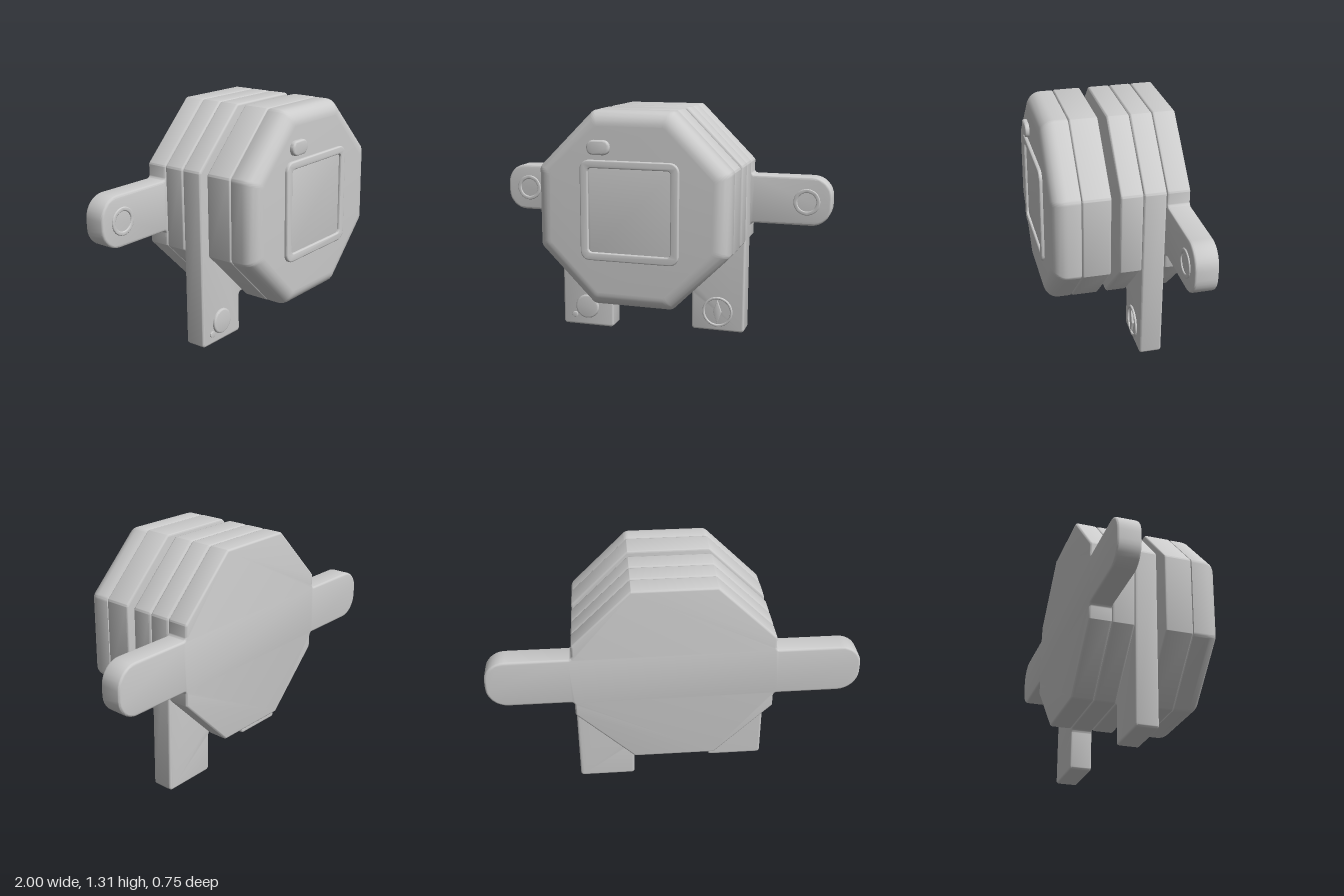
import * as THREE from 'three';
import { toCreasedNormals } from 'three/addons/utils/BufferGeometryUtils.js';

const CY = 0.773;              // height of the octagon centre
const A = 0.538;               // octagon apothem
const H = A * Math.tan(Math.PI / 8);
const material = new THREE.MeshStandardMaterial({ color: 0xcccccc });

// Traces a closed polygon of [x, y, radius] corners with rounded corners
function rounded(points, path = new THREE.Shape()) {
  const corners = points.map(([x, y, r = 0.02]) => ({ p: new THREE.Vector2(x, y), r }));
  const n = corners.length;
  corners.forEach(({ p, r }, i) => {
    const a = corners[(i + n - 1) % n].p.clone().sub(p).normalize();
    const b = corners[(i + 1) % n].p.clone().sub(p).normalize();
    const turn = Math.PI - Math.acos(THREE.MathUtils.clamp(a.dot(b), -1, 1));
    const t = r * Math.tan(turn / 2);
    const h = t - r * (4 / 3) * Math.tan(turn / 4);
    const at = (d, s) => p.clone().addScaledVector(d, s);
    const s = at(a, t), c1 = at(a, h), c2 = at(b, h), e = at(b, t);
    if (i === 0) path.moveTo(s.x, s.y); else path.lineTo(s.x, s.y);
    path.bezierCurveTo(c1.x, c1.y, c2.x, c2.y, e.x, e.y);
  });
  path.closePath();
  return path;
}

const rect = (x0, x1, y0, y1, r) => [[x0, y0, r], [x1, y0, r], [x1, y1, r], [x0, y1, r]];

function circle(x, y, r, path = new THREE.Shape()) {
  path.absarc(x, y, r, 0, Math.PI * 2, false);
  return path;
}

function add(group, name, geometry) {
  const mesh = new THREE.Mesh(toCreasedNormals(geometry, 0.62), material);
  mesh.name = name;
  group.add(mesh);
  return mesh;
}

// Slab between two depths with softened edges that stay inside the outline
function slab(group, name, shape, z0, z1, bevel = 0.012, curveSegments = 6) {
  const geometry = new THREE.ExtrudeGeometry(shape, {
    depth: z1 - z0 - 2 * bevel, curveSegments,
    bevelEnabled: true, bevelSize: bevel, bevelThickness: bevel,
    bevelOffset: -bevel, bevelSegments: 3,
  });
  geometry.translate(0, 0, z0 + bevel);
  return add(group, name, geometry);
}

// Octagon corners, counter-clockwise from the lower right of the bottom edge
const octagon = [
  [H, CY - A], [A, CY - H], [A, CY + H], [H, CY + A],
  [-H, CY + A], [-A, CY + H], [-A, CY - H], [-H, CY - A],
];

// Front shell: octagon whose size follows a rounded profile along z
function shellGeometry(z0, z1, radius) {
  const small = 0.01, profile = [[small, z0], [small * 0.3, z0 + small * 0.3], [0, z0 + small]];
  for (let i = 0; i <= 8; i++) {
    const a = (i / 8) * Math.PI / 2;
    profile.push([radius * (1 - Math.cos(a)), z1 - radius + radius * Math.sin(a)]);
  }
  const steps = profile.length - 1;
  const shape = rounded(octagon.map(([x, y]) => [x, y - CY, 0.04]));
  const geometry = new THREE.ExtrudeGeometry(shape, { depth: steps, steps, bevelEnabled: false, curveSegments: 5 });
  const pos = geometry.attributes.position;
  for (let i = 0; i < pos.count; i++) {
    const [inset, z] = profile[Math.round(pos.getZ(i))];
    const s = 1 - inset / A;
    pos.setXYZ(i, pos.getX(i) * s, pos.getY(i) * s + CY, z);
  }
  return geometry;
}

export function createModel() {
  const model = new THREE.Group();
  model.name = 'octagonalDevice';

  // Back plate with an ear on each side
  const e0 = 0.635, e1 = 0.915;
  const rightHalf = [
    [H, CY - A], [A, CY - H], [A, e0], [1, e0, 0.115], [1, e1, 0.115], [A, e1], [A, CY + H], [H, CY + A],
  ];
  const leftHalf = rightHalf.map(([x, y, r]) => [-x, y, r]).reverse();
  slab(model, 'backPlate', rounded([...rightHalf, ...leftHalf]), -0.371, -0.247, 0.012, 8);

  // Raised rings on the ears
  for (const side of [-1, 1]) {
    const ring = circle(side * 0.86, CY, 0.076);
    ring.holes.push(circle(side * 0.86, CY, 0.054, new THREE.Path()));
    slab(model, side > 0 ? 'leftEarRing' : 'rightEarRing', ring, -0.255, -0.24, 0.005, 32);
  }

  // Two middle plates, each with one leg on opposite sides
  const legPlate = [[H, CY - A], [H, 0], [A, 0], ...octagon.slice(2)];
  slab(model, 'leftLegPlate', rounded(legPlate), -0.246, -0.124);
  slab(model, 'rightLegPlate', rounded(legPlate.map(([x, y]) => [-x, y])), -0.123, -0.001);

  // Left leg badge: ring around a diamond
  const badge = circle(0.38, 0.117, 0.09);
  badge.holes.push(circle(0.38, 0.117, 0.076, new THREE.Path()));
  slab(model, 'leftLegRing', badge, -0.13, -0.113, 0.005, 32);
  const diamond = [[0.38, 0.047, 0], [0.405, 0.117, 0], [0.38, 0.187, 0], [0.355, 0.117, 0]];
  slab(model, 'leftLegDiamond', rounded(diamond), -0.13, -0.111, 0.002, 1);

  // Right leg buttons
  slab(model, 'rightLegButton', circle(-0.385, 0.117, 0.072), -0.012, 0.012, 0.01, 32);
  slab(model, 'rightLegDot', circle(-0.465, 0.061, 0.018), -0.01, 0.006, 0.003, 16);

  // Front body in two halves
  slab(model, 'bodyRear', rounded(octagon), 0.045, 0.198, 0.01);
  add(model, 'bodyFront', shellGeometry(0.199, 0.352, 0.08));

  // Screen frame with recessed screen, and a small button above it
  const frame = rounded(rect(-0.277, 0.275, 0.5, 1.05, 0.05));
  frame.holes.push(rounded(rect(-0.232, 0.23, 0.545, 1.007, 0.02), new THREE.Path()));
  slab(model, 'screenFrame', frame, 0.34, 0.37, 0.007);
  slab(model, 'screen', rounded(rect(-0.24, 0.238, 0.537, 1.015, 0.02)), 0.34, 0.356, 0.002);
  slab(model, 'topButton', rounded(rect(-0.235, -0.107, 1.078, 1.157, 0.036)), 0.34, 0.377, 0.009);

  return model;
}
